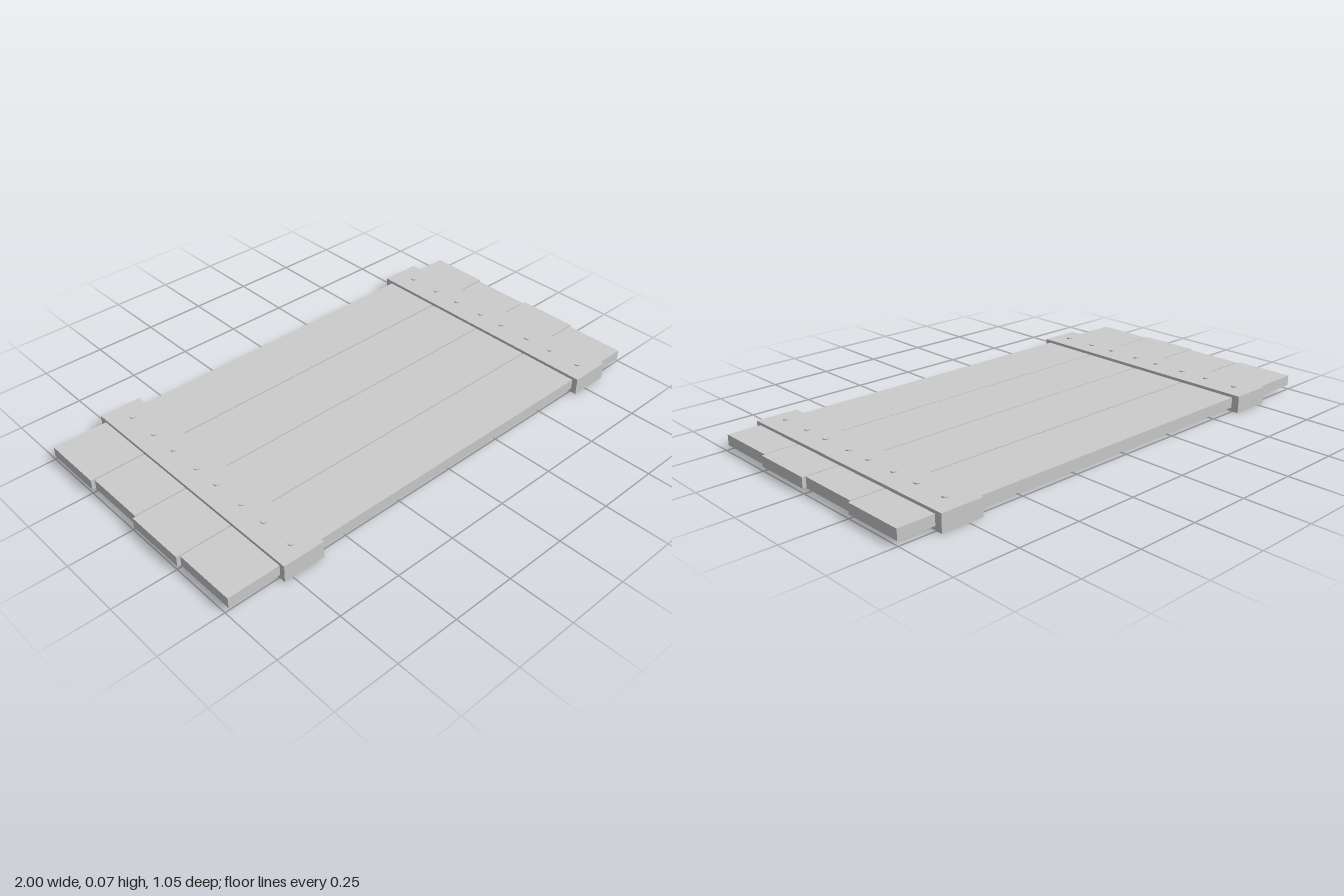
import * as THREE from 'three';

export function createModel() {
  const group = new THREE.Group();
  group.name = 'woodenPanel';
  const material = new THREE.MeshStandardMaterial({ color: 0xcccccc, flatShading: true });

  const add = (parent, name, geometry, x, y, z) => {
    const mesh = new THREE.Mesh(geometry, material);
    mesh.name = name;
    mesh.position.set(x, y, z);
    parent.add(mesh);
  };

  // Four long planks, alternately full length and slightly shorter
  const plankZ = [-0.373, -0.121, 0.13, 0.381];
  plankZ.forEach((z, i) => {
    const length = i % 2 === 0 ? 2 : 1.976;
    add(group, 'plank' + (i + 1), new THREE.BoxGeometry(length, 0.041, 0.246), 0, 0.036, z);
  });

  // Two cross battens wrapping the planks, each with a row of nail heads
  const nailZ = [0.462, 0.323, 0.206, 0.068, -0.045, -0.182, -0.304, -0.443];
  const nailGeometry = new THREE.CylinderGeometry(0.012, 0.012, 0.01, 8);
  [['right', -0.7], ['left', 0.774]].forEach(([side, x]) => {
    const batten = new THREE.Group();
    batten.name = side + 'BattenAssembly';
    batten.position.x = x;
    add(batten, side + 'Batten', new THREE.BoxGeometry(0.166, 0.068, 1.053), 0, 0.034, 0);
    nailZ.forEach((z) => add(batten, 'nailHead', nailGeometry, 0, 0.067, z));
    group.add(batten);
  });

  return group;
}
